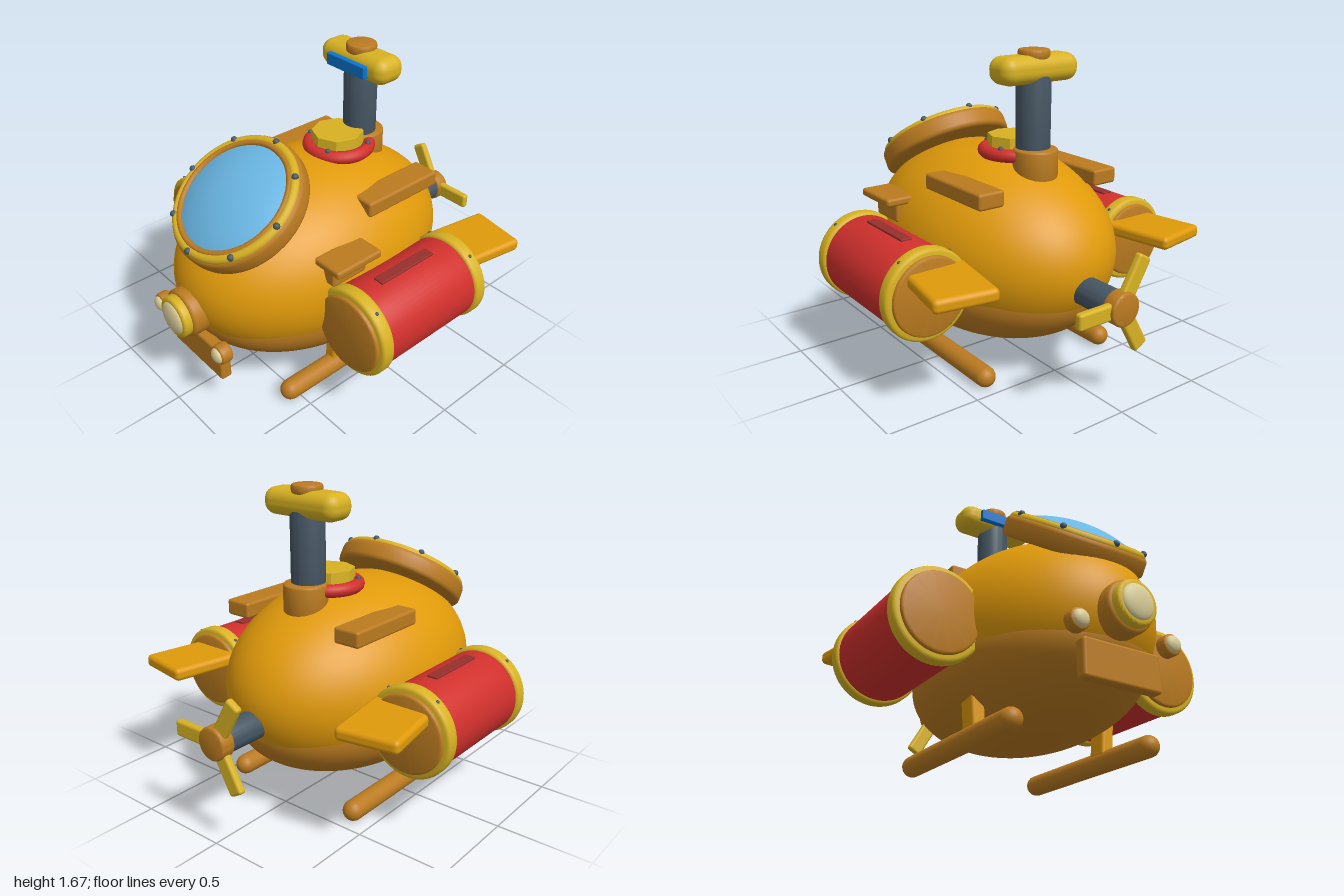
import * as THREE from 'three';
import { toCreasedNormals } from 'three/addons/utils/BufferGeometryUtils.js';
import { RoundedBoxGeometry } from 'three/addons/geometries/RoundedBoxGeometry.js';

const mat = (name, color) => {
  const m = new THREE.MeshStandardMaterial({ color });
  m.name = name;
  return m;
};

export function createModel() {
  const amber = mat('amber hull', 0xe09a0a);
  const bronze = mat('bronze', 0xbb7b20);
  const brass = mat('brass', 0xd8b222);
  const red = mat('red', 0xd0302c);
  const darkRed = mat('dark red', 0x96302d);
  const slate = mat('slate', 0x465663);
  const glass = mat('sky glass', 0x6ab7e4);
  const lamp = mat('cream lamp', 0xdbcf9a);
  const blue = mat('blue lens', 0x0876d0);

  const model = new THREE.Group();
  model.name = 'submarine';

  const add = (name, geo, material, x = 0, y = 0, z = 0, parent = model) => {
    const m = new THREE.Mesh(geo, material);
    m.name = name;
    m.position.set(x, y, z);
    parent.add(m);
    return m;
  };
  const group = (name, x = 0, y = 0, z = 0, parent = model) => {
    const g = new THREE.Group();
    g.name = name;
    g.position.set(x, y, z);
    parent.add(g);
    return g;
  };
  const box = (w, h, d, r = 0.015) => new RoundedBoxGeometry(w, h, d, 3, r);
  const bolt = (r = 0.018) => new THREE.SphereGeometry(r, 10, 8);
  const ring = (R, r) => new THREE.TorusGeometry(R, r, 12, 64).rotateX(Math.PI / 2);

  // Cylinder along y with rounded rims
  const drum = (r, len, bevel = 0.012) => {
    const pts = [new THREE.Vector2(0, -len / 2)];
    for (const side of [-1, 1]) {
      for (let i = 0; i <= 3; i++) {
        const a = (side < 0 ? i - 3 : i) * Math.PI / 6;
        pts.push(new THREE.Vector2(r - bevel + bevel * Math.cos(a), side * (len / 2 - bevel) + bevel * Math.sin(a)));
      }
    }
    pts.push(new THREE.Vector2(0, len / 2));
    return toCreasedNormals(new THREE.LatheGeometry(pts, 56), 0.65);
  };
  const drumZ = (r, len, bevel) => drum(r, len, bevel).rotateX(Math.PI / 2);

  // Squashed half spheres: lens faces +z, bowl hangs down
  const lens = (r, h) => new THREE.SphereGeometry(1, 32, 12, 0, Math.PI * 2, 0, Math.PI / 2).scale(r, h, r).rotateX(Math.PI / 2);
  const bowl = new THREE.SphereGeometry(1, 72, 20, 0, Math.PI * 2, Math.PI / 2, Math.PI / 2);

  // Hull with a wider bowl-shaped belly
  add('hull', new THREE.SphereGeometry(1, 72, 40).scale(0.562, 0.515, 0.81), amber, 0, 0.62, 0.072);
  add('belly', bowl.scale(0.54, 0.357, 0.752), bronze, 0, 0.452, 0.072);

  // Tilted front window with a shallow dome
  const win = group('frontWindow', 0, 1.09, 0.56);
  win.rotation.x = 0.613;
  add('windowCollar', drum(0.372, 0.11, 0.025), bronze, 0, -0.06, 0, win);
  add('windowRim', ring(0.335, 0.025), brass, 0, -0.008, 0, win);
  add('windowInnerRim', ring(0.312, 0.016), bronze, 0, 0.004, 0, win);
  const capR = 0.308, capH = 0.07;
  const domeR = (capR * capR + capH * capH) / (2 * capH);
  const dome = new THREE.SphereGeometry(domeR, 48, 12, 0, Math.PI * 2, 0, Math.asin(capR / domeR));
  add('windowGlass', dome, glass, 0, capH - domeR, 0, win);
  for (let i = 0; i < 8; i++) {
    const a = i * Math.PI / 4;
    add('windowBolt', bolt(), slate, 0.345 * Math.sin(a), 0.01, 0.345 * Math.cos(a), win);
  }

  // Nose headlight
  add('headlightBase', drumZ(0.13, 0.13, 0.02), bronze, 0, 0.545, 0.865);
  add('headlightRim', drumZ(0.113, 0.06, 0.015), brass, 0, 0.545, 0.945);
  add('headlightLens', lens(0.09, 0.03), lamp, 0, 0.545, 0.97);

  // Bumper plate
  add('bumperPlate', box(0.435, 0.19, 0.065), bronze, 0, 0.286, 0.822);

  // Mirrored parts
  for (const s of [-1, 1]) {
    add('smallLampBase', drumZ(0.053, 0.065), bronze, s * 0.262, 0.43, 0.867);
    add('smallLampLens', lens(0.042, 0.025), lamp, s * 0.262, 0.43, 0.898);

    // Landing skid and its strut
    add('skid', new THREE.CapsuleGeometry(0.055, 0.955, 8, 20).rotateX(Math.PI / 2), bronze, s * 0.39, 0.055, 0.067);
    add('skidStrut', box(0.07, 0.25, 0.11), amber, s * 0.385, 0.2, 0.203).rotation.z = -s * 0.08;

    // Side pod
    const pod = group('sidePod', s * 0.67, 0.553, 0.018);
    add('podBody', drumZ(0.223, 0.68), red, 0, 0, 0, pod);
    add('podEndCaps', drumZ(0.205, 0.785), bronze, 0, 0, 0, pod);
    add('podSlot', box(0.06, 0.03, 0.365, 0.004), darkRed, 0, 0.217, 0.01, pod);
    for (const e of [-1, 1]) {
      add('podRim', drumZ(0.238, 0.076, 0.018), brass, 0, 0, e * 0.335, pod);
      for (const b of [-1, 1]) add('podBolt', bolt(0.01), slate, b * 0.138, 0.19, e * 0.335, pod);
    }

    // Tail fin behind the pod
    add('tailFin', box(0.325, 0.07, 0.42, 0.025), amber, s * 0.657, 0.66, -0.51).rotation.y = -s * 0.17;

    // Shoulder strake
    add('shoulderStrake', box(0.15, 0.085, 0.49), bronze, s * 0.365, 0.993, -0.2);
  }

  // Step on the left side
  add('sideStep', box(0.175, 0.043, 0.29), bronze, 0.5275, 0.876, 0.275);
  add('sideStepBracket', box(0.08, 0.12, 0.22), bronze, 0.505, 0.81, 0.275);

  // Top hatch
  const hatch = group('topHatch', 0, 1.135, -0.14);
  add('hatchRing', ring(0.16, 0.035), red, 0, 0, 0, hatch);
  const lid = new THREE.CylinderGeometry(0.138, 0.142, 0.1, 8).toNonIndexed();
  lid.computeVertexNormals();
  add('hatchLid', lid, brass, 0, 0.033, 0.01, hatch);
  for (let i = 0; i < 4; i++) {
    const a = 0.47 + i * Math.PI / 2;
    add('hatchBolt', bolt(0.015), slate, 0.163 * Math.sin(a), 0.033, 0.163 * Math.cos(a), hatch);
  }

  // Periscope
  const scope = group('periscope', 0, 0, -0.29);
  add('periscopeBase', drum(0.115, 0.16), bronze, 0, 1.095, -0.022, scope);
  add('periscopeTube', drum(0.089, 0.5), slate, 0, 1.3, 0, scope);
  add('periscopeHead', new RoundedBoxGeometry(0.468, 0.14, 0.185, 5, 0.062), brass, 0, 1.574, 0, scope);
  add('periscopeLens', box(0.274, 0.065, 0.05, 0.005), blue, 0, 1.57, 0.093, scope);
  add('periscopeCap', drum(0.08, 0.05), bronze, 0, 1.645, 0, scope);

  // Propeller
  const prop = group('propeller', 0, 0.535, 0);
  add('propellerShaft', drumZ(0.075, 0.3), slate, 0, 0, -0.79, prop);
  add('propellerHub', drumZ(0.086, 0.08), bronze, 0, 0, -0.96, prop);
  for (let i = 0; i < 3; i++) {
    const blade = box(0.25, 0.085, 0.042, 0.015).translate(0.145, 0, 0);
    add('propellerBlade', blade, brass, 0, 0, -0.96, prop).rotation.z = i * Math.PI * 2 / 3;
  }

  return model;
}
